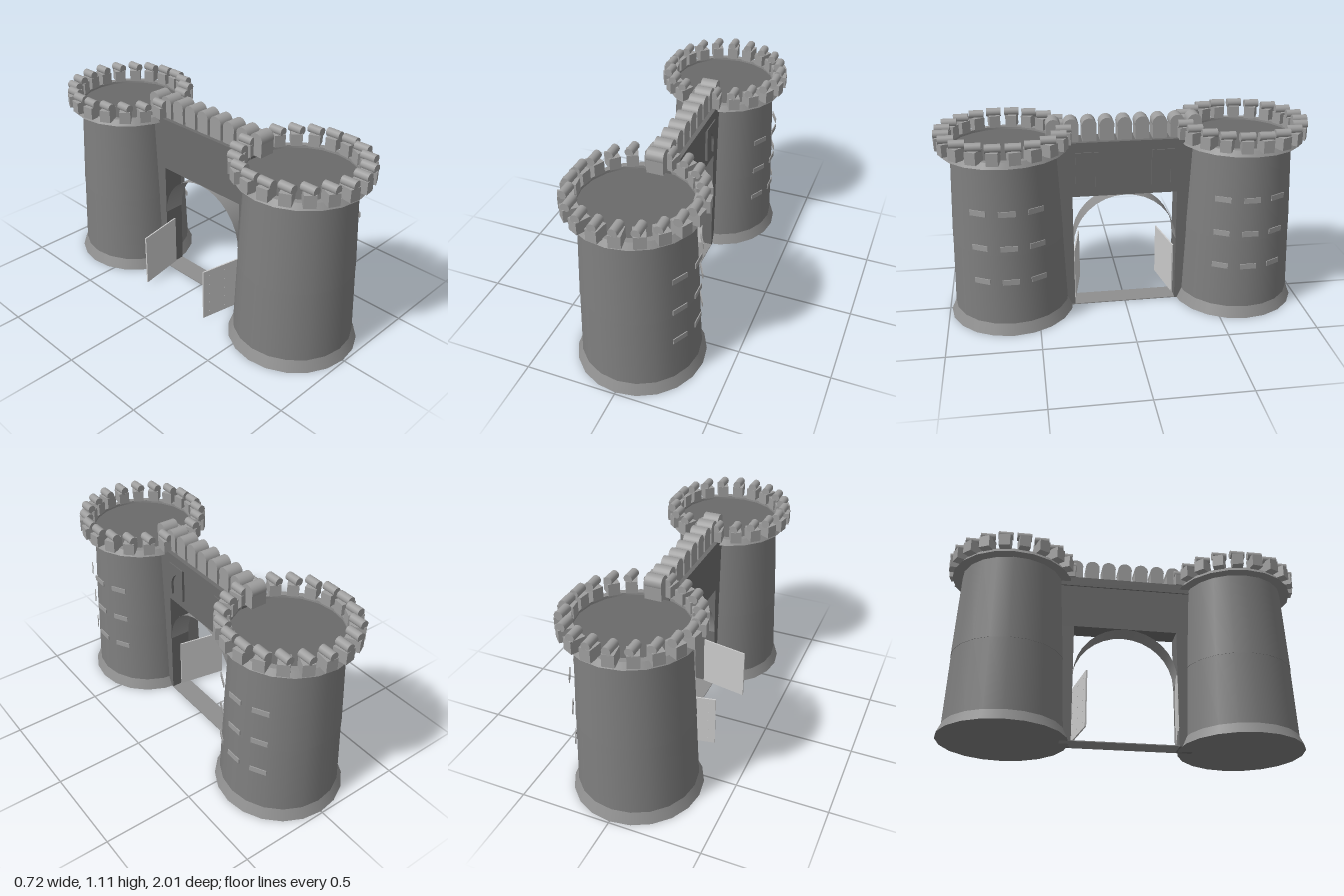
import * as THREE from 'three';
import { mergeGeometries } from 'three/addons/utils/BufferGeometryUtils.js';

const paint = (color, side = THREE.FrontSide) => new THREE.MeshStandardMaterial({ color, side });
const stone = paint(0x7e7e7e);
const wallStone = paint(0x6c6c6c);
const roofStone = paint(0x6a6a6a);
const trimStone = paint(0x8e8e8e);
const battlementStone = paint(0x9e9e9e);
const archStone = paint(0x8e8e8e, THREE.DoubleSide);
const doorGrey = paint(0xcccccc);
const SIDES = 20;

function add(parent, name, geometry, material, x = 0, y = 0, z = 0) {
  const mesh = new THREE.Mesh(geometry, material);
  mesh.name = name;
  mesh.position.set(x, y, z);
  parent.add(mesh);
  return mesh;
}

// Turned body, smooth around the axis and sharp between profile segments
function turned(profile) {
  const parts = [];
  for (let i = 0; i < profile.length - 1; i++) {
    const pair = [profile[i], profile[i + 1]].map(([r, y]) => new THREE.Vector2(r, y));
    parts.push(new THREE.LatheGeometry(pair, SIDES));
  }
  return mergeGeometries(parts);
}

function makeTower() {
  const tower = new THREE.Group();
  tower.name = 'tower';
  add(tower, 'towerFoot', turned([[0, 0], [0.347, 0]]), stone);
  add(tower, 'towerBase', turned([[0.347, 0], [0.32, 0.06], [0.31, 0.06]]), trimStone);
  add(tower, 'lowerShaft', turned([[0.32, 0.06], [0.304, 0.46], [0.3, 0.46]]), stone);
  add(tower, 'upperShaft', turned([[0.3, 0.46], [0.306, 0.46], [0.282, 0.95]]), stone);
  add(tower, 'cornice', turned([
    [0.27, 0.95], [0.339, 0.95], [0.316, 0.98], [0.285, 0.98], [0.285, 0.965]]), trimStone);
  add(tower, 'roof', turned([[0.285, 0.965], [0, 0.965]]), roofStone);

  // Ring of battlements: radial blocks, each with a round bar lying along z
  const block = new THREE.BoxGeometry(0.06, 0.066, 0.08);
  const bar = new THREE.CylinderGeometry(0.023, 0.023, 0.08, 16).rotateX(Math.PI / 2);
  for (let i = 0; i < 20; i++) {
    const a = (i + 0.5) * Math.PI / 10;
    const x = 0.32 * Math.sin(a), z = 0.32 * Math.cos(a);
    add(tower, 'battlementBlock', block, battlementStone, x, 1.009, z).rotation.y = a;
    add(tower, 'battlementBar', bar, battlementStone, x, 1.056, z);
  }

  // Window slits on the left side, three rows of three
  const slit = new THREE.BoxGeometry(0.005, 0.03, 0.09);
  for (const y of [0.31, 0.505, 0.7]) {
    for (const a of [-0.49, 0, 0.49]) {
      const x = 0.316 * Math.cos(a), z = -0.316 * Math.sin(a);
      add(tower, 'windowSlit', slit, battlementStone, x, y, z).rotation.y = a;
    }
  }
  return tower;
}

// Rectangular frame with a pointed-arch opening
function makeWindowFrame() {
  const w = 0.0625, o = 0.0425, h = 0.2;
  const shape = new THREE.Shape();
  shape.moveTo(-w, 0);
  shape.lineTo(-o, 0);
  shape.lineTo(-o, 0.07);
  shape.quadraticCurveTo(-o, 0.11, 0, 0.145);
  shape.quadraticCurveTo(o, 0.11, o, 0.07);
  shape.lineTo(o, 0);
  shape.lineTo(w, 0);
  shape.lineTo(w, h);
  shape.lineTo(-w, h);
  shape.closePath();
  return new THREE.ExtrudeGeometry(shape, { depth: 0.016, bevelEnabled: false, curveSegments: 6 })
    .rotateY(Math.PI / 2);
}

function makeDoor(side) {
  const door = new THREE.Group();
  door.name = 'gateDoor';
  door.position.set(-0.137, 0.16, side * 0.261);
  door.rotation.y = -Math.atan2(side * 0.05, 0.275);
  add(door, 'doorPanel', new THREE.BoxGeometry(0.28, 0.305, 0.008), doorGrey);
  const rivet = new THREE.CylinderGeometry(0.003, 0.003, 0.004, 6).rotateX(Math.PI / 2);
  for (let i = -1; i <= 1; i++) {
    for (let j = -2; j <= 2; j++) {
      add(door, 'doorRivet', rivet, doorGrey, i * 0.1, j * 0.06, side * 0.005);
    }
  }
  return door;
}

function makeGate() {
  const gate = new THREE.Group();
  gate.name = 'gate';
  add(gate, 'gateWall', new THREE.BoxGeometry(0.12, 0.255, 0.76), wallStone, 0, 0.7975, 0);
  add(gate, 'wallLedge', new THREE.BoxGeometry(0.136, 0.055, 0.74), wallStone, 0, 0.9525, 0);
  add(gate, 'threshold', new THREE.BoxGeometry(0.12, 0.005, 0.7), trimStone, 0, 0.0025, 0);

  // Arched lining of the gateway
  const arch = new THREE.CylinderGeometry(0.289, 0.289, 0.12, 16, 1, true, 0, Math.PI)
    .rotateZ(Math.PI / 2);
  add(gate, 'archLining', arch, archStone, 0, 0.38, 0);

  const frame = makeWindowFrame();
  for (const side of [-1, 1]) {
    add(gate, 'gatePost', new THREE.BoxGeometry(0.12, 0.67, 0.09), wallStone, 0, 0.335, side * 0.335);
    add(gate, 'windowFrame', frame, wallStone, 0.058, 0.725, side * 0.2075);
    gate.add(makeDoor(side));
  }

  // Round-topped battlements along the wall
  const block = new THREE.BoxGeometry(0.09, 0.085, 0.076);
  const cap = new THREE.CylinderGeometry(0.04, 0.04, 0.09, 20).rotateZ(Math.PI / 2);
  for (let i = -4; i <= 4; i++) {
    add(gate, 'wallBattlementBlock', block, battlementStone, 0, 1.0225, i * 0.095);
    add(gate, 'wallBattlementCap', cap, battlementStone, 0, 1.065, i * 0.095);
  }
  return gate;
}

export function createModel() {
  const model = new THREE.Group();
  model.name = 'gatehouse';
  for (const side of [-1, 1]) {
    const tower = makeTower();
    tower.position.z = side * 0.643;
    model.add(tower);
  }
  model.add(makeGate());
  return model;
}
